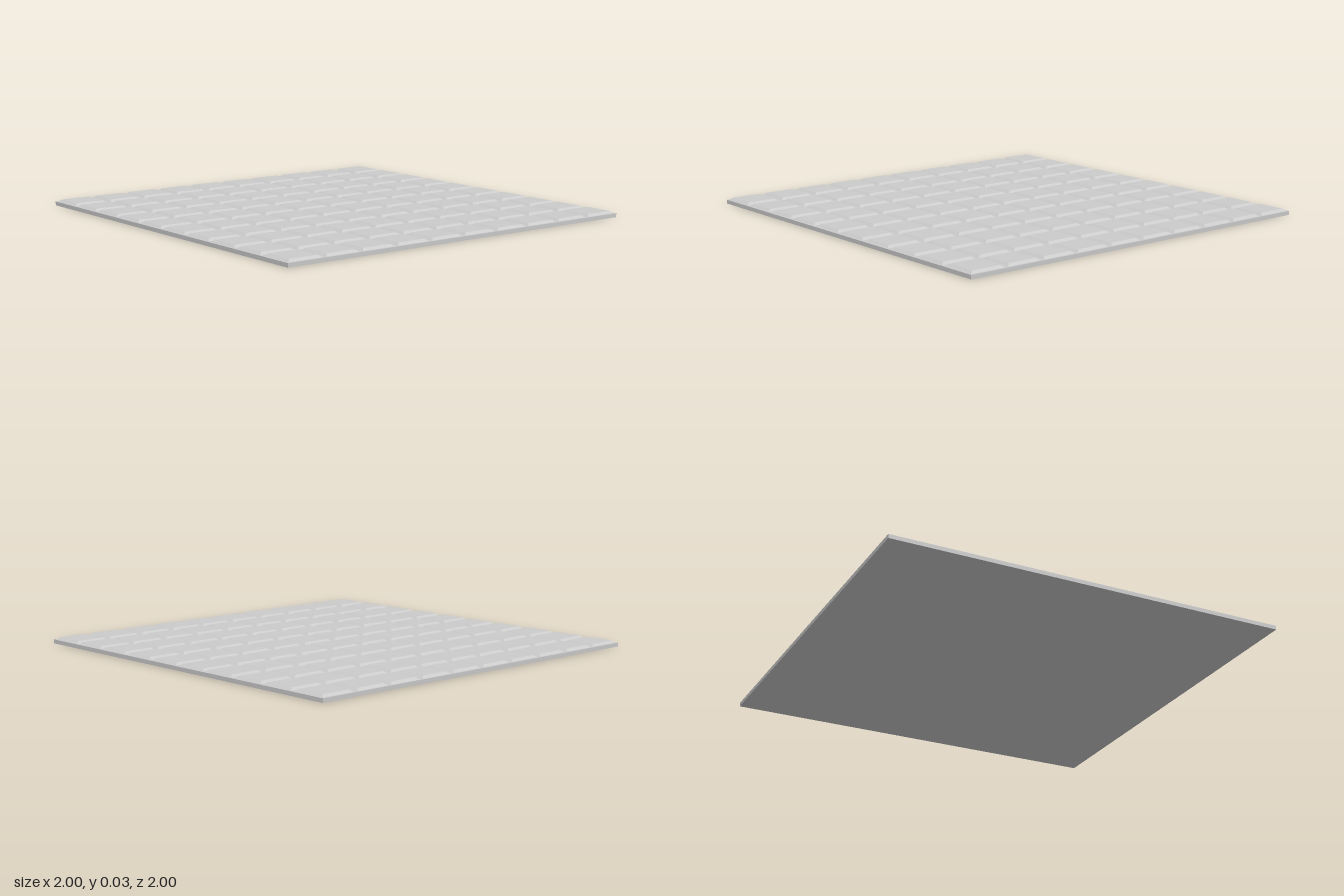
import * as THREE from 'three';

const COUNT = 10, PITCH = 0.2;
const BASE_HEIGHT = 0.02, TILE_HEIGHT = 0.011;
const TILE_BOTTOM = 0.18, TILE_TOP = 0.152;

// Square tile with sloped sides, standing on y = 0
function tileGeometry() {
  const geometry = new THREE.BoxGeometry(TILE_BOTTOM, TILE_HEIGHT, TILE_BOTTOM);
  geometry.translate(0, TILE_HEIGHT / 2, 0);
  const p = geometry.attributes.position;
  const taper = TILE_TOP / TILE_BOTTOM;
  for (let i = 0; i < p.count; i++) {
    if (p.getY(i) > TILE_HEIGHT / 2) {
      p.setX(i, p.getX(i) * taper);
      p.setZ(i, p.getZ(i) * taper);
    }
  }
  geometry.computeVertexNormals();
  return geometry;
}

export function createModel() {
  const model = new THREE.Group();
  model.name = 'tiledFloor';
  const material = new THREE.MeshStandardMaterial({ color: 0xcccccc, flatShading: true });

  // Flat slab under the tiles
  const size = COUNT * PITCH;
  const slab = new THREE.Mesh(new THREE.BoxGeometry(size, BASE_HEIGHT, size), material);
  slab.name = 'baseSlab';
  slab.position.y = BASE_HEIGHT / 2;
  model.add(slab);

  // Grid of bevelled tiles
  const tiles = new THREE.Group();
  tiles.name = 'tiles';
  const geometry = tileGeometry();
  const offset = (COUNT - 1) / 2;
  for (let row = 0; row < COUNT; row++) {
    for (let column = 0; column < COUNT; column++) {
      const tile = new THREE.Mesh(geometry, material);
      tile.name = 'tile';
      tile.position.set((column - offset) * PITCH, BASE_HEIGHT, (row - offset) * PITCH);
      tiles.add(tile);
    }
  }
  model.add(tiles);
  return model;
}
